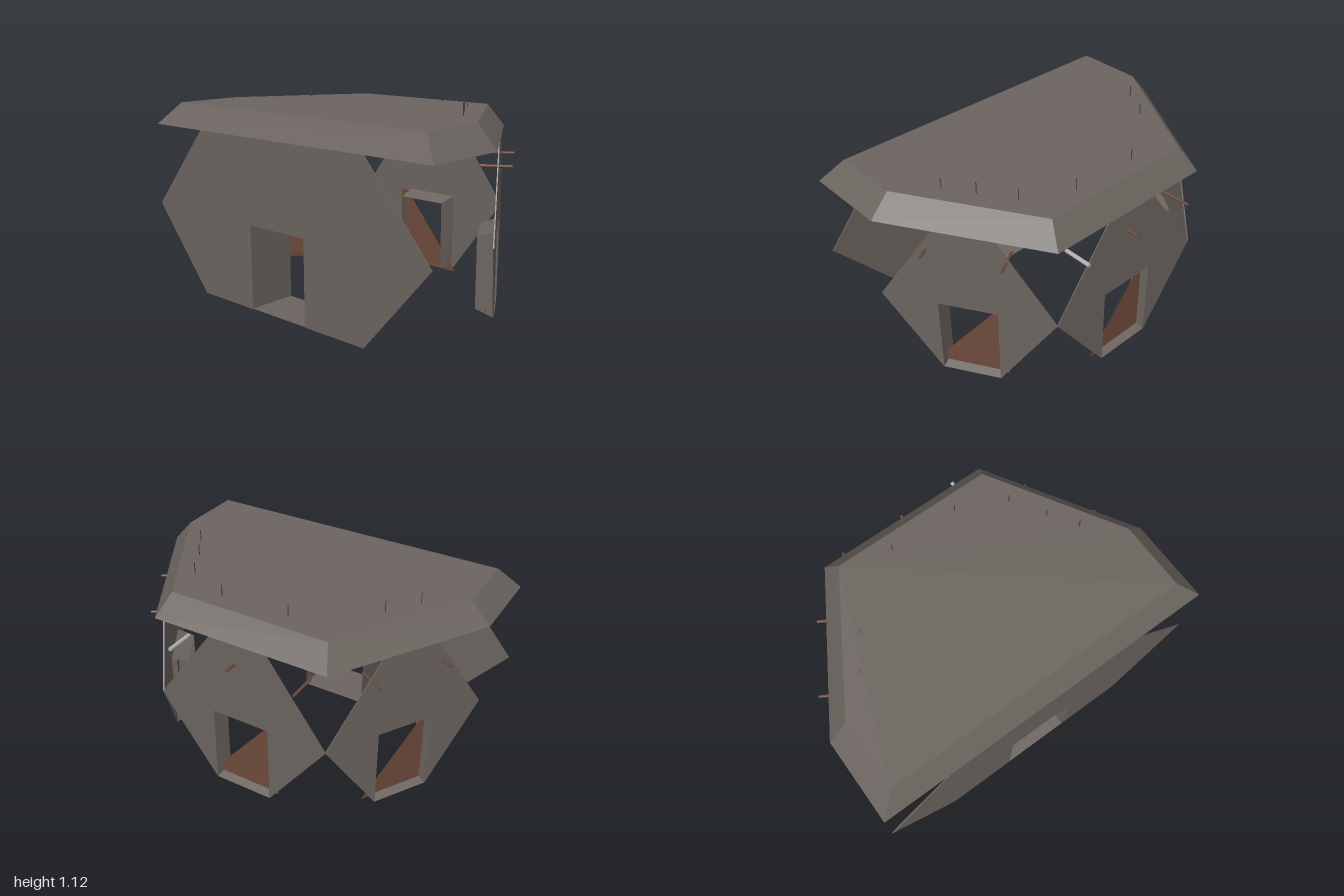
import * as THREE from 'three';
import { ConvexGeometry } from 'three/addons/geometries/ConvexGeometry.js';

const H = 0.93, MID = 0.465;

function material(name, color, side = THREE.FrontSide) {
  const m = new THREE.MeshStandardMaterial({ color, side });
  m.name = name;
  return m;
}

function add(parent, name, geometry, mat) {
  const mesh = new THREE.Mesh(geometry, mat);
  mesh.name = name;
  parent.add(mesh);
  return mesh;
}

// Four sided sleeve running from one rectangle to another
function sleeve(outer, inner) {
  const loop = ([hw, y0, y1, z]) => [[-hw, y0, z], [hw, y0, z], [hw, y1, z], [-hw, y1, z]];
  const a = loop(outer), b = loop(inner), pos = [];
  for (let i = 0; i < 4; i++) {
    const j = (i + 1) % 4;
    pos.push(...a[i], ...b[j], ...a[j], ...a[i], ...b[i], ...b[j]);
  }
  const g = new THREE.BufferGeometry();
  g.setAttribute('position', new THREE.Float32BufferAttribute(pos, 3));
  g.computeVertexNormals();
  return g;
}

function polygon(points) {
  return new THREE.Shape(points.map(p => new THREE.Vector2(...p)));
}

// Thin hexagonal wall with a doorway notch; local +z faces outwards
function hexWall(halfWide, halfFlat, halfDoor) {
  const outline = [
    [-halfWide, MID], [-halfFlat, 0], [-halfDoor, 0], [-halfDoor, MID],
    [halfDoor, MID], [halfDoor, 0], [halfFlat, 0], [halfWide, MID],
    [halfFlat, H], [-halfFlat, H],
  ].filter((p, i, all) => i === 0 || p[0] !== all[i - 1][0] || p[1] !== all[i - 1][1]);
  return new THREE.ExtrudeGeometry(polygon(outline), { depth: 0.006, bevelEnabled: false })
    .translate(0, 0, -0.006);
}

export function createModel() {
  const model = new THREE.Group();
  model.name = 'hexShelter';
  const wallMat = material('stoneGrey', 0x6b645f, THREE.DoubleSide);
  const brown = material('rustBrown', 0x6e4a3d, THREE.DoubleSide);
  const pale = material('paleMetal', 0xb4b2b0);
  const dark = material('darkMetal', 0x4a4542);

  // Roof slab with sloping rim
  const half = [[1, 0.681, 0.93], [1, 0.2, 0.93], [0.51, -0.612, 0.93],
    [0.888, 0.588, 1.055], [0.888, 0.2, 1.055], [0.46, -0.517, 1.055]];
  const roofPoints = half.flatMap(([x, z, y]) =>
    [new THREE.Vector3(x, y, z), new THREE.Vector3(-x, y, z)]);
  add(model, 'roof', new ConvexGeometry(roofPoints), wallMat);

  // Front wall with its deep entrance
  const front = new THREE.Group();
  front.name = 'frontWall';
  front.position.z = 0.681;
  model.add(front);
  add(front, 'frontPanel', hexWall(1, 0.6, 0.2), wallMat);
  add(front, 'entranceTunnel', sleeve([0.2, 0.003, MID, 0], [0.2, 0.003, MID, -0.278]), wallMat);

  // Back and side walls with window frame, half shutter and outward rods
  const shutter = new THREE.ShapeGeometry(
    polygon([[-0.222, 0.008], [0.2, 0.008], [0.2, 0.468], [0.157, 0.468]])).translate(0, 0, -0.045);
  const rod = (r) => new THREE.CylinderGeometry(r, r, 0.16, 8).rotateX(Math.PI / 2);
  const thinRod = rod(0.008), paleRod = rod(0.011);
  const angle = Math.atan2(0.855, -0.517);
  const walls = [
    { name: 'backWall', x: 0, z: -0.612, turn: Math.PI, wide: 0.51, flat: 0.17, rods: [-0.37, -0.02, 0.37] },
    { name: 'rightWall', x: 0.755, z: -0.205, turn: angle, wide: 0.474, flat: 0.162, rods: [-0.2, 0.215] },
    { name: 'leftWall', x: -0.755, z: -0.205, turn: -angle, wide: 0.474, flat: 0.162, rods: [-0.215, 0.2] },
  ];
  for (const w of walls) {
    const wall = new THREE.Group();
    wall.name = w.name;
    wall.position.set(w.x, 0, w.z);
    wall.rotation.y = w.turn;
    model.add(wall);
    add(wall, 'panel', hexWall(w.wide, w.flat, w.flat), wallMat);
    add(wall, 'windowFrame',
      sleeve([w.flat, 0.003, MID, 0], [w.flat - 0.018, 0.04, 0.432, -0.1]), wallMat);
    add(wall, 'shutter', shutter, brown);
    w.rods.forEach((u, i) => {
      const isPale = w.name === 'backWall' && i === 0;
      add(wall, 'rod', isPale ? paleRod : thinRod, isPale ? pale : brown)
        .position.set(u, isPale ? 0.822 : 0.813, -0.012);
    });
  }

  // Thin upright blades standing on the roof
  const blade = new THREE.BoxGeometry(0.002, 0.064, 0.006);
  const spots = [[-0.685, 0.035], [-0.57, -0.14], [-0.185, -0.427], [0.21, -0.425],
    [0.475, -0.3], [0.585, -0.115], [0.685, 0.035]];
  for (const [x, z] of spots) add(model, 'roofBlade', blade, dark).position.set(x, 1.09, z);

  return model;
}
